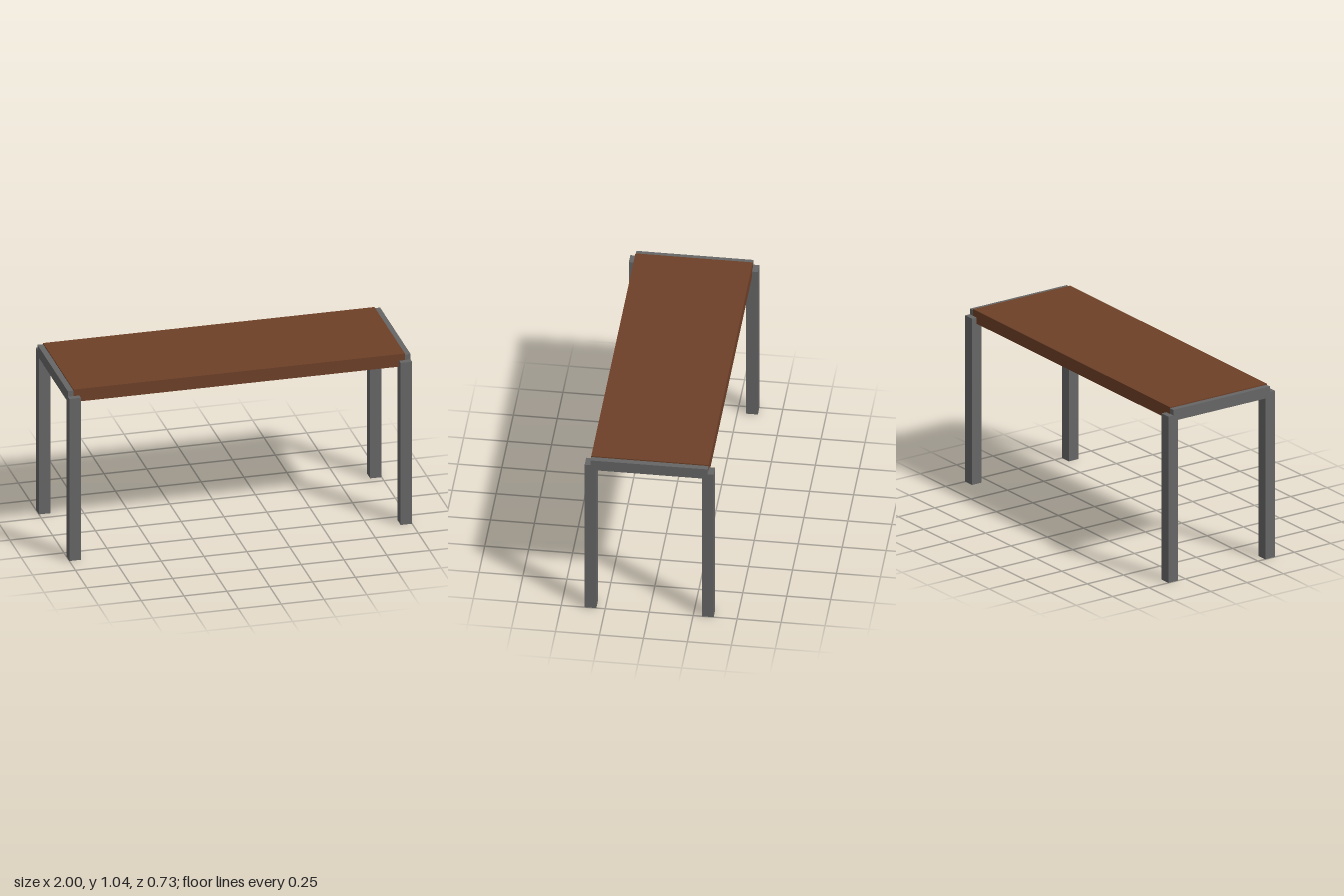
import * as THREE from 'three';

export function createModel() {
  const group = new THREE.Group();
  const wood = new THREE.MeshStandardMaterial({ color: 0x6e4028 });
  const metal = new THREE.MeshStandardMaterial({ color: 0x666666 });

  const addBox = (name, material, [w, h, d], [x, y, z]) => {
    const mesh = new THREE.Mesh(new THREE.BoxGeometry(w, h, d), material);
    mesh.name = name;
    mesh.position.set(x, y, z);
    group.add(mesh);
  };

  const bar = 0.0667; // square section of legs and rails
  const legHeight = 1;
  const endX = 1 - bar / 2;

  // Thick wooden top, slightly deeper than the rails it is set into
  addBox('tableTop', wood, [1.934, 0.077, 0.667], [0, 1.0015, 0]);

  for (const [side, sx] of [['left', 1], ['right', -1]]) {
    // Rail across each end, raised half its height above the legs
    addBox(`${side}EndRail`, metal, [bar, bar, 0.665], [sx * endX, legHeight, 0]);

    // Square legs, set half a bar outside the top
    for (const [end, sz] of [['Front', 1], ['Back', -1]]) {
      addBox(`${side}${end}Leg`, metal, [bar, legHeight, bar], [sx * endX, legHeight / 2, sz * 0.3335]);
    }
  }
  return group;
}
